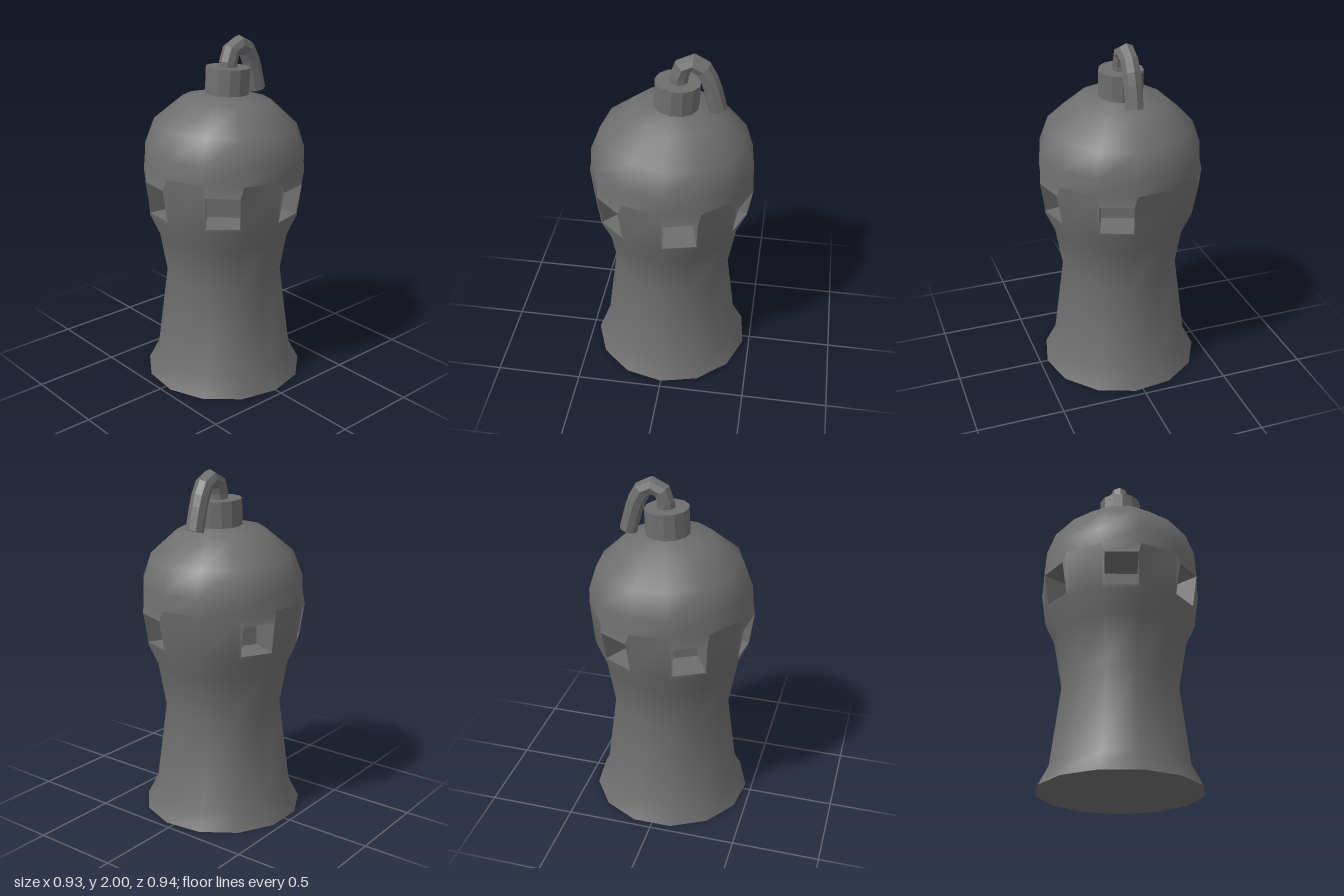
import * as THREE from 'three';
import { toCreasedNormals } from 'three/addons/utils/BufferGeometryUtils.js';

const SIDES = 13;
const STEP = (Math.PI * 2) / SIDES;
const CX = -0.008; // slight sideways offset of the whole figure

// [radius, height] of each ring, bottom to top
const PROFILE = [
  [0.464, 0], [0.402, 0.12], [0.338, 0.62], [0.388, 0.9], [0.443, 1.02],
  [0.464, 1.28], [0.46, 1.38], [0.41, 1.52], [0.25, 1.66],
];
const WINDOW_BAND = 4;                       // band between rings 4 and 5
const WINDOW_SIDES = [1, 3, 5, 7, 10, 12];   // sides that carry a window

// Collects faces; the head leans back a little
function faceList() {
  const pos = [];
  const push = (p) => {
    const t = Math.max(0, (p.y - 1.02) / 0.6);
    pos.push(p.x + CX, p.y + p.z * 0.058 * Math.min(t, 1), p.z - 0.02 * t * t);
  };
  const tri = (a, b, c) => [a, b, c].forEach(push);
  const quad = (a, b, c, d) => { tri(a, b, c); tri(a, c, d); };
  const build = () => {
    const geo = new THREE.BufferGeometry();
    geo.setAttribute('position', new THREE.Float32BufferAttribute(pos, 3));
    return toCreasedNormals(geo, 0.75);
  };
  return { tri, quad, build };
}

function ringPoint([r, y], k) {
  return new THREE.Vector3(r * Math.cos(k * STEP), y, r * Math.sin(k * STEP));
}

// Recessed window: a frame, four inner walls and a back wall; its hood joins the dome
function addWindow(outer, k, trunk, dome) {
  const a = (k + 0.5) * STEP;
  const normal = new THREE.Vector3(Math.cos(a), 0, Math.sin(a));
  const right = new THREE.Vector3(Math.sin(a), 0, -Math.cos(a));
  const at = (side, y, depth) => normal.clone().multiplyScalar(depth)
    .addScaledVector(right, side * 0.093).setY(y);
  const hole = [at(-1, 1.04, 0.435), at(1, 1.04, 0.435), at(1, 1.22, 0.465), at(-1, 1.22, 0.465)];
  const inner = [at(-1, 1.04, 0.25), at(1, 1.04, 0.25), at(1, 1.2, 0.25), at(-1, 1.2, 0.25)];
  for (let i = 0; i < 4; i++) {
    const j = (i + 1) % 4;
    const target = i === 2 ? dome : trunk;
    target.quad(outer[i], outer[j], hole[j], hole[i]);
    trunk.quad(hole[i], hole[j], inner[j], inner[i]);
  }
  trunk.quad(...inner);
}

function bodyGeometries() {
  const trunk = faceList();
  const dome = faceList();
  const base = new THREE.Vector3(0, 0, 0);
  const crown = new THREE.Vector3(0, 1.715, 0);
  const last = PROFILE.length - 1;
  for (let k = 0; k < SIDES; k++) {
    for (let i = 0; i < last; i++) {
      const corners = [
        ringPoint(PROFILE[i], k + 1), ringPoint(PROFILE[i], k),
        ringPoint(PROFILE[i + 1], k), ringPoint(PROFILE[i + 1], k + 1),
      ];
      if (i === WINDOW_BAND && WINDOW_SIDES.includes(k)) addWindow(corners, k, trunk, dome);
      else (i > WINDOW_BAND ? dome : trunk).quad(...corners);
    }
    trunk.tri(base, ringPoint(PROFILE[0], k), ringPoint(PROFILE[0], k + 1));
    dome.tri(crown, ringPoint(PROFILE[last], k + 1), ringPoint(PROFILE[last], k));
  }
  return [trunk.build(), dome.build()];
}

export function createModel() {
  const model = new THREE.Group();
  const smooth = new THREE.MeshStandardMaterial({ color: 0x6e6e6e });
  const flat = new THREE.MeshStandardMaterial({ color: 0x6e6e6e, flatShading: true });
  const add = (name, geo, mat, parent = model) => {
    const mesh = new THREE.Mesh(geo, mat);
    mesh.name = name;
    parent.add(mesh);
    return mesh;
  };

  // Waisted trunk with windows, and the dome with a hood over each window
  const [trunk, dome] = bodyGeometries();
  add('trunk', trunk, smooth);
  add('dome', dome, smooth);

  // Collar on the crown
  const collar = add('collar', new THREE.CylinderGeometry(0.125, 0.125, 0.18, SIDES), flat);
  collar.position.set(CX, 1.745, -0.026);
  collar.rotation.x = -0.055;

  // Hook curling over the back
  const hook = new THREE.Group();
  hook.name = 'hook';
  model.add(hook);
  const path = new THREE.CatmullRomCurve3([
    [1.8, -0.033], [1.89, -0.04], [1.935, -0.068], [1.951, -0.112],
    [1.922, -0.166], [1.83, -0.21], [1.68, -0.251],
  ].map(([y, z]) => new THREE.Vector3(CX, y, z)));
  add('hookBar', new THREE.TubeGeometry(path, 8, 0.051, 8), flat, hook);
  const tip = add('hookTip', new THREE.CircleGeometry(0.051, 8), flat, hook);
  const end = path.getPoint(1);
  tip.position.copy(end);
  tip.lookAt(end.clone().add(path.getTangent(1)));

  return model;
}
